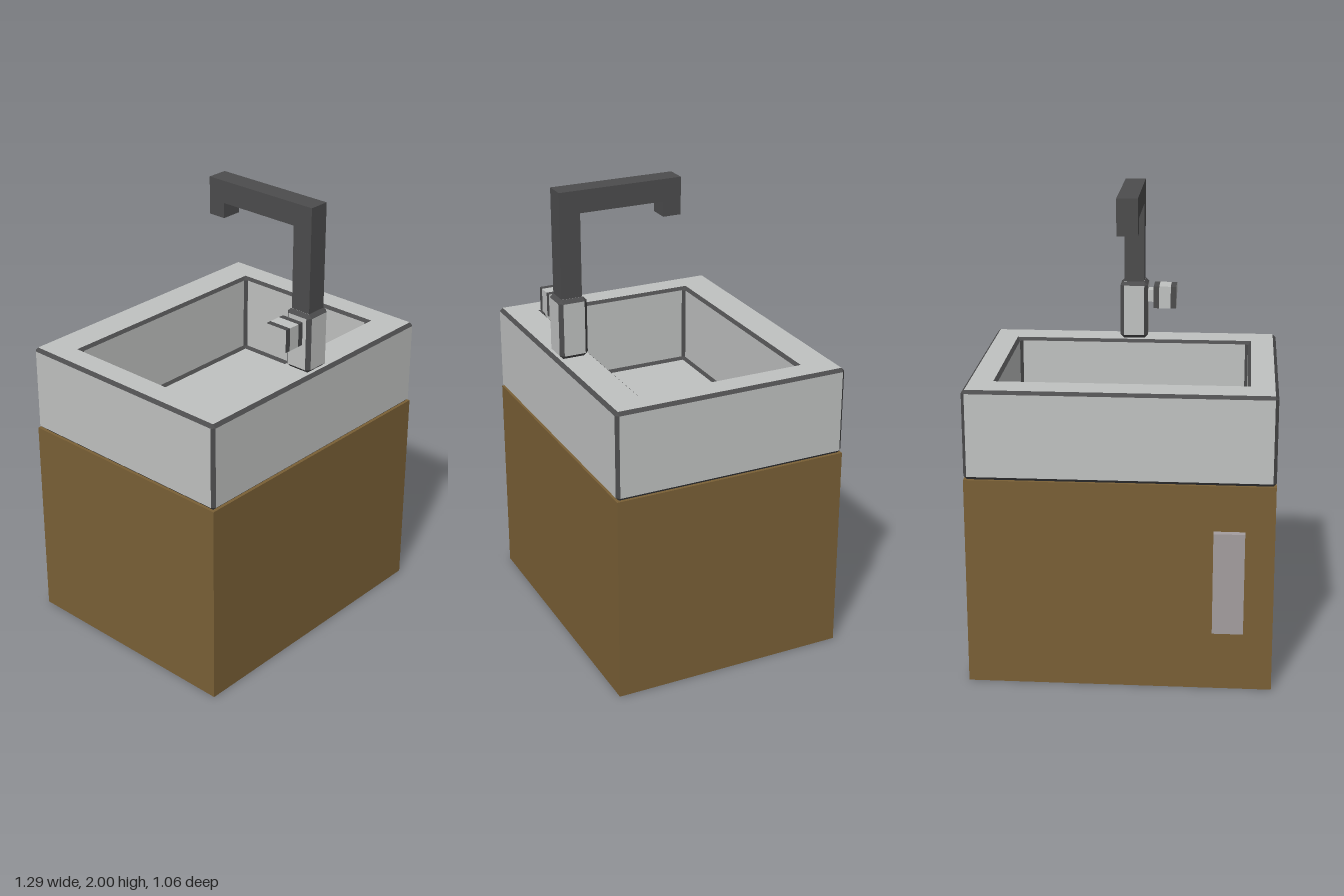
import * as THREE from 'three';

const paint = (name, color) => {
  const m = new THREE.MeshStandardMaterial({ color });
  m.name = name;
  return m;
};

export function createModel() {
  const wood = paint('brown wood', 0x7a6036);
  const steel = paint('light steel', 0xc0c2c1);
  const dark = paint('dark metal', 0x4c4c4d);
  const handleGrey = paint('handle grey', 0xa39d9f);
  const model = new THREE.Group();
  model.name = 'sinkCabinet';

  // Box given by its minimum and maximum on each axis
  function box(name, mat, [x0, x1], [y0, y1], [z0, z1], parent = model) {
    const mesh = new THREE.Mesh(new THREE.BoxGeometry(x1 - x0, y1 - y0, z1 - z0), mat);
    mesh.position.set((x0 + x1) / 2, (y0 + y1) / 2, (z0 + z1) / 2);
    mesh.name = name;
    parent.add(mesh);
    return mesh;
  }

  // Rectangular ring of eight points with corners cut by c
  const ring = (hx, hz, y, c) => [
    [hx, hz - c], [hx, c - hz], [hx - c, -hz], [c - hx, -hz],
    [-hx, c - hz], [-hx, hz - c], [c - hx, hz], [hx - c, hz],
  ].map(([x, z]) => new THREE.Vector3(x, y, z));

  // Skin over stacked rings: flat sides light, chamfers dark.
  // Each level is [hx, hz, y, cut, sidesAreLight]
  function chamferedBody(name, levels, z) {
    const faces = { light: [], dark: [] };
    const tri = (list, a, b, c) => {
      const area = b.clone().sub(a).cross(c.clone().sub(a)).length();
      if (area > 1e-7) list.push(a, b, c);
    };
    const quad = (list, a, b, c, d) => { tri(list, a, b, c); tri(list, a, c, d); };
    const rings = levels.map(([hx, hz, y, c]) => ring(hx, hz, y, c));
    for (let k = 1; k < rings.length; k++) {
      const lo = rings[k - 1], hi = rings[k];
      for (let i = 0; i < 8; i++) {
        const j = (i + 1) % 8;
        const list = levels[k][4] && i % 2 === 0 ? faces.light : faces.dark;
        quad(list, lo[i], lo[j], hi[j], hi[i]);
      }
    }
    const first = rings[0], last = rings[rings.length - 1];
    quad(faces.light, first[6], first[4], first[2], first[0]);
    quad(faces.light, last[0], last[2], last[4], last[6]);

    const group = new THREE.Group();
    group.name = name;
    for (const [key, mat, part] of [['light', steel, 'Panels'], ['dark', dark, 'Edges']]) {
      const geo = new THREE.BufferGeometry().setFromPoints(faces[key]);
      geo.computeVertexNormals();
      const mesh = new THREE.Mesh(geo, mat);
      mesh.name = name + part;
      group.add(mesh);
    }
    group.position.z = z;
    model.add(group);
  }

  // Cabinet and its door handle
  box('cabinet', wood, [-0.643, 0.643], [0, 0.907], [-0.5, 0.53]);
  box('doorHandle', handleGrey, [-0.52, -0.39], [0.265, 0.71], [-0.53, -0.5]);

  // Basin: outer walls, top rim, then down the inner walls to the floor
  const c = 0.014, X = 0.643, Z = 0.515;
  chamferedBody('basin', [
    [X - c, Z - c, 0.907, 0],
    [X, Z, 0.907 + c, c, false],
    [X, Z, 1.29 - c, c, true],
    [X - c, Z - c, 1.29, 0, false],
    [0.53, 0.367, 1.29, 0, true],
    [0.517, 0.354, 1.277, 0.013, false],
    [0.517, 0.354, 0.945, 0.013, true],
    [0.505, 0.342, 0.932, 0, false],
  ], 0.015);

  // Tap base
  const b = 0.016;
  chamferedBody('tapBase', [
    [0.062 - b, 0.063 - b, 1.29, 0],
    [0.062, 0.063, 1.29 + b, b, false],
    [0.062, 0.063, 1.55 - b, b, true],
    [0.062 - b, 0.063 - b, 1.55, 0, false],
  ], 0.453);

  // Spout: hooked profile in z and y, extruded across x
  const profile = new THREE.Shape([
    [0.5, 1.545], [0.5, 2], [-0.04, 2], [-0.04, 1.84],
    [0.04, 1.84], [0.04, 1.905], [0.41, 1.905], [0.41, 1.545],
  ].map(([z, y]) => new THREE.Vector2(-z, y)));
  const spoutGeo = new THREE.ExtrudeGeometry(profile, { depth: 0.09, bevelEnabled: false });
  spoutGeo.translate(0, 0, -0.045).rotateY(Math.PI / 2);
  const spout = new THREE.Mesh(spoutGeo, dark);
  spout.name = 'spout';
  model.add(spout);

  // Tap knob: stem, banded block with light end faces
  const knob = new THREE.Group();
  knob.name = 'tapKnob';
  model.add(knob);
  const ky = [1.43, 1.53], kz = [0.4, 0.503];
  box('knobStem', steel, [-0.09, -0.06], [1.455, 1.51], [0.42, 0.48], knob);
  box('knobMiddle', steel, [-0.165, -0.113], ky, kz, knob);
  const bandMats = [steel, steel, dark, dark, dark, dark];
  box('knobOuterBand', bandMats, [-0.19, -0.165], ky, kz, knob);
  box('knobInnerBand', bandMats, [-0.113, -0.088], ky, kz, knob);

  return model;
}
